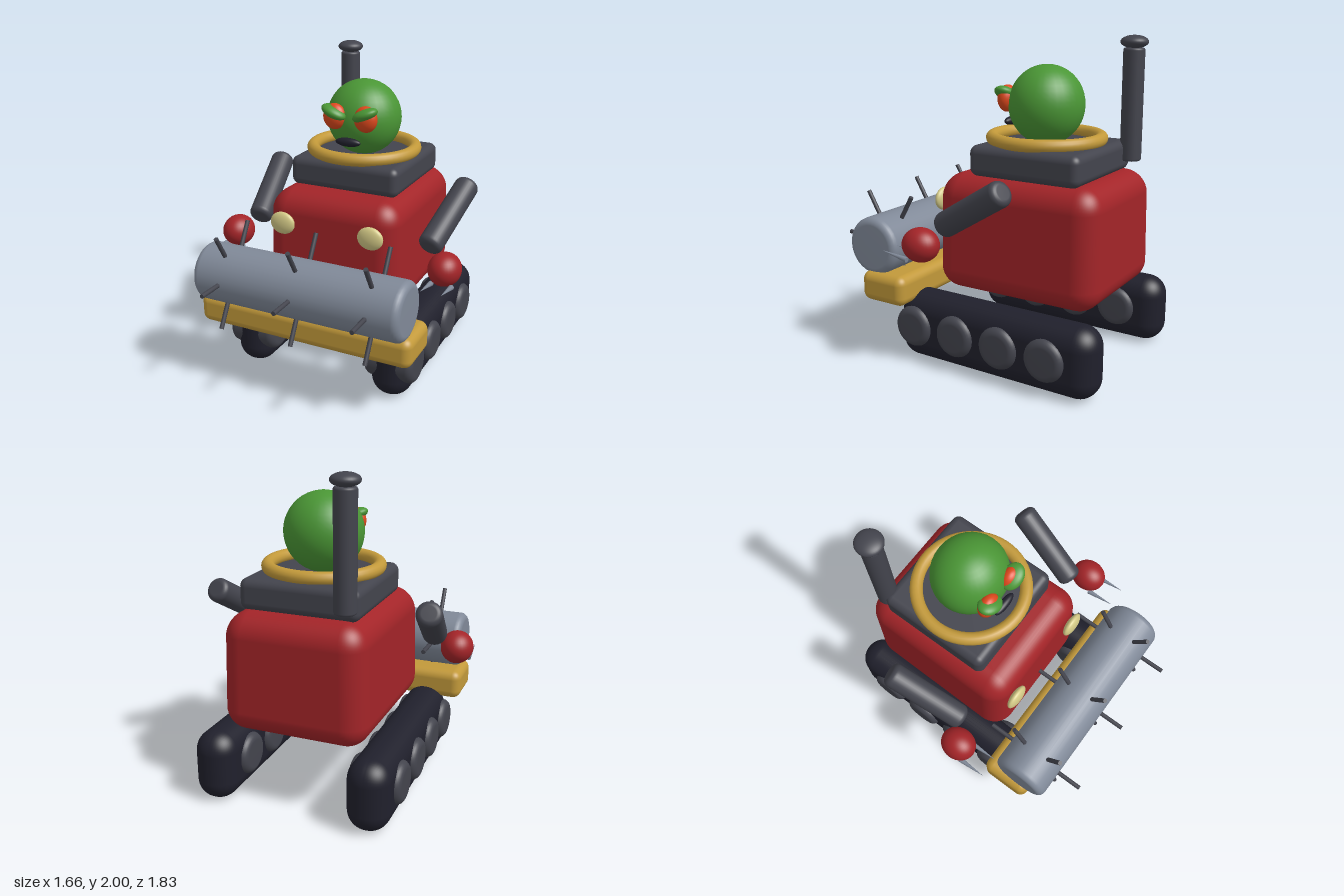
import * as THREE from 'three';
import { RoundedBoxGeometry } from 'three/addons/geometries/RoundedBoxGeometry.js';

const paint = (name, color) => {
  const m = new THREE.MeshStandardMaterial({ color });
  m.name = name;
  return m;
};

export function createModel() {
  const red = paint('red paint', 0xa32428);
  const green = paint('green skin', 0x4a9635);
  const gold = paint('gold trim', 0xc2993a);
  const grey = paint('dark grey metal', 0x43444d);
  const black = paint('black rubber', 0x20202c);
  const steel = paint('steel', 0x808998);
  const cream = paint('lamp cream', 0xd2c885);
  const orange = paint('eye orange', 0xdc481c);

  const model = new THREE.Group();
  model.name = 'trackedVehicle';

  const add = (name, geometry, material, x = 0, y = 0, z = 0, parent = model) => {
    const mesh = new THREE.Mesh(geometry, material);
    mesh.name = name;
    mesh.position.set(x, y, z);
    parent.add(mesh);
    return mesh;
  };
  const box = (w, h, d, r) => new RoundedBoxGeometry(w, h, d, 6, r);
  const ellipsoid = (rx, ry, rz) => new THREE.SphereGeometry(1, 32, 22).scale(rx, ry, rz);

  // Cylinder along y with rounded rims
  const roundedCylinder = (r, length, bevel) => {
    const pts = [new THREE.Vector2(0, -length / 2)];
    for (const end of [-1, 1]) {
      for (let i = 0; i <= 6; i++) {
        const a = (end < 0 ? i - 6 : i) / 6 * Math.PI / 2;
        pts.push(new THREE.Vector2(r - bevel + bevel * Math.cos(a),
          end * (length / 2 - bevel) + bevel * Math.sin(a)));
      }
    }
    pts.push(new THREE.Vector2(0, length / 2));
    return new THREE.LatheGeometry(pts, 32);
  };

  // Place a y-axis mesh so that it runs from a to b
  const span = (mesh, a, b) => {
    mesh.position.copy(a).add(b).multiplyScalar(0.5);
    mesh.quaternion.setFromUnitVectors(new THREE.Vector3(0, 1, 0), b.clone().sub(a).normalize());
    return mesh;
  };

  // Hull, slightly narrower towards the roof and the back
  const hull = box(0.92, 0.73, 1.08, 0.14);
  const p = hull.attributes.position;
  for (let i = 0; i < p.count; i++) {
    const up = Math.max(0, p.getY(i) / 0.365);
    const back = Math.max(0, -p.getZ(i) / 0.54);
    p.setX(i, p.getX(i) * (1 - 0.07 * up * up) * (1 - 0.03 * back));
    p.setZ(i, p.getZ(i) * (1 - 0.03 * up * up));
  }
  add('hull', hull, red, 0, 0.815, -0.285);

  // Cockpit and its rim
  add('cockpit', box(0.74, 0.19, 0.74, 0.05), grey, 0, 1.265, -0.315);
  add('cockpitRim', new THREE.TorusGeometry(0.334, 0.04, 16, 56).rotateX(Math.PI / 2),
    gold, 0, 1.387, -0.285);

  // Driver head
  const head = new THREE.Group();
  head.name = 'driverHead';
  model.add(head);
  add('skull', ellipsoid(0.243, 0.243, 0.232), green, 0, 1.587, -0.283, head);
  add('mouth', ellipsoid(0.086, 0.028, 0.028), black, 0, 1.472, -0.038, head);

  // Exhaust stack
  add('exhaustPipe', roundedCylinder(0.066, 0.69, 0.015), grey, -0.305, 1.58, -0.71);
  add('exhaustCap', ellipsoid(0.085, 0.04, 0.085), grey, -0.305, 1.96, -0.71);

  // Front bumper
  add('bumper', box(1.43, 0.19, 0.325, 0.055), gold, 0, 0.467, 0.475);

  // Spiked roller
  const roller = new THREE.Group();
  roller.name = 'spikedRoller';
  roller.position.set(0, 0.718, 0.57);
  model.add(roller);
  add('drum', roundedCylinder(0.183, 1.36, 0.045).rotateZ(Math.PI / 2), steel, 0, 0, 0, roller);
  for (const x of [-0.485, 0, 0.485]) {
    for (let i = 0; i < 6; i++) {
      const a = i * Math.PI / 3;
      const dir = new THREE.Vector3(0, Math.sin(a), Math.cos(a));
      const offset = new THREE.Vector3(x, 0, 0);
      span(add('spike', new THREE.CylinderGeometry(0.014, 0.014, 0.195, 12), grey, 0, 0, 0, roller),
        offset.clone().addScaledVector(dir, 0.15), offset.clone().addScaledVector(dir, 0.345));
    }
  }

  // Paired parts
  for (const s of [1, -1]) {
    const side = s > 0 ? 'left' : 'right';

    // Track with four wheels
    add(side + 'Track', box(0.26, 0.435, 1.355, 0.125), black, s * 0.485, 0.222, -0.235);
    for (let i = 0; i < 4; i++) {
      add(side + 'Wheel', roundedCylinder(0.13, 0.325, 0.045).rotateZ(Math.PI / 2),
        grey, s * 0.485, 0.232, 0.3 - 0.307 * i);
    }

    // Headlight
    add(side + 'Headlight', ellipsoid(0.085, 0.073, 0.033), cream, s * 0.302, 0.99, 0.28);

    // Eye under a slanted lid
    add(side + 'Eye', ellipsoid(0.077, 0.083, 0.055), orange, s * 0.107, 1.622, -0.068, head);
    const lid = add(side + 'Eyelid', ellipsoid(0.087, 0.038, 0.066), green, s * 0.107, 1.652, -0.056, head);
    lid.rotation.z = s * 0.4;

    // Arm, fist and claws
    const low = new THREE.Vector3(s * 0.6, 0.91, 0.075);
    const high = new THREE.Vector3(s * 0.685, 1.193, -0.4);
    span(add(side + 'Arm', roundedCylinder(0.078, low.distanceTo(high), 0.035), grey), low, high);
    add(side + 'Fist', ellipsoid(0.102, 0.103, 0.117), red, s * 0.73, 0.819, 0.138);
    for (const dx of [-0.064, 0.064]) {
      const x = s * 0.73 + dx;
      span(add(side + 'Claw', new THREE.ConeGeometry(0.017, 0.19, 12), steel),
        new THREE.Vector3(x, 0.735, 0.195), new THREE.Vector3(x, 0.763, 0.38));
    }
  }

  return model;
}
